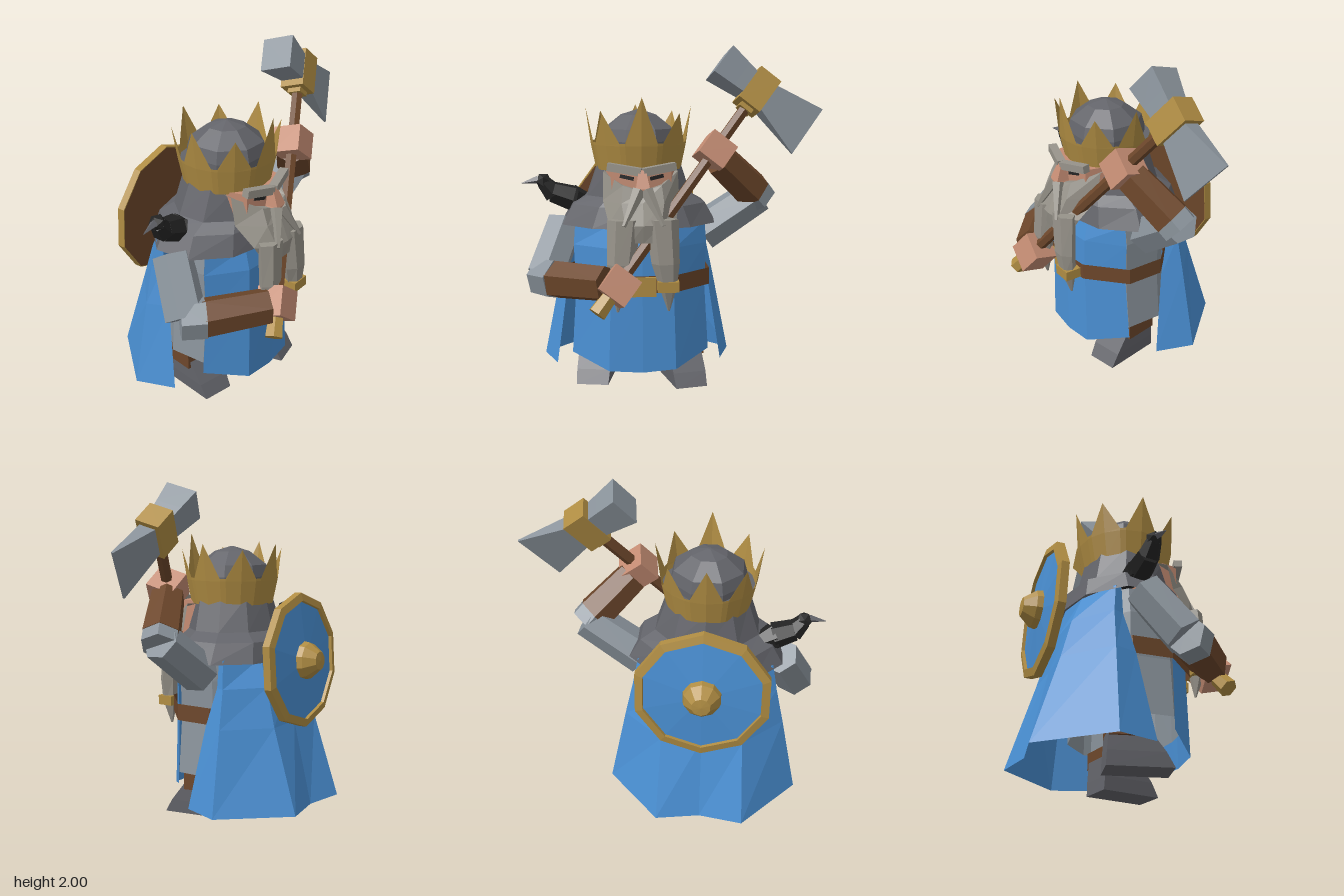
import * as THREE from 'three';

const mat = (name, color) => {
  const m = new THREE.MeshStandardMaterial({ color, flatShading: true, side: THREE.DoubleSide });
  m.name = name;
  return m;
};

const V = (x, y, z) => new THREE.Vector3(x, y, z);

// Skin a stack of cross-sections, listed bottom to top, points anticlockwise from above
function loft(rings, closed = true, cap = closed) {
  const pos = [];
  const tri = (...p) => p.forEach((v) => pos.push(...v));
  const n = rings[0].length;
  for (let j = 0; j < rings.length - 1; j++) {
    for (let i = 0; i < (closed ? n : n - 1); i++) {
      const k = (i + 1) % n;
      const [p, q, r, s] = [rings[j][i], rings[j][k], rings[j + 1][k], rings[j + 1][i]];
      tri(p, q, r);
      tri(p, r, s);
    }
  }
  if (cap) {
    const a = rings[0], b = rings[rings.length - 1];
    for (let i = 1; i < n - 1; i++) {
      tri(a[0], a[i + 1], a[i]);
      tri(b[0], b[i], b[i + 1]);
    }
  }
  const g = new THREE.BufferGeometry();
  g.setAttribute('position', new THREE.Float32BufferAttribute(pos, 3));
  g.computeVertexNormals();
  return g;
}

const ellipse = (y, rx, rz, cz, n, turn = 0, cx = 0) => Array.from({ length: n }, (_, i) => {
  const a = (i + turn) / n * Math.PI * 2;
  return [cx + Math.sin(a) * rx, y, cz + Math.cos(a) * rz];
});
const rect = (y, hx, hz, cx = 0, cz = 0) =>
  [[cx - hx, y, cz + hz], [cx + hx, y, cz + hz], [cx + hx, y, cz - hz], [cx - hx, y, cz - hz]];
// Mirror a half outline of [x, z, y?] points; runs from -x to +x across the middle point
const strip = (half, y) => [
  ...half.slice(1).reverse().map(([x, z, h]) => [-x, h ?? y, z]),
  ...half.map(([x, z, h]) => [x, h ?? y, z]),
];

export function createModel() {
  const blue = mat('blue cloth', 0x4a90d4), gold = mat('gold', 0xb08d43), skin = mat('skin', 0xc48c73);
  const leather = mat('brown leather', 0x6d472b), steel = mat('light mail and steel', 0x8a939b);
  const iron = mat('dark mail', 0x63646a), hair = mat('grey hair', 0x97938a), black = mat('black', 0x242424);

  const model = new THREE.Group();
  const body = new THREE.Group();
  body.name = 'body';
  body.position.x = -0.205;
  model.add(body);

  const add = (parent, name, geo, m, p = [0, 0, 0], r = [0, 0, 0]) => {
    const mesh = new THREE.Mesh(geo, m);
    mesh.name = name;
    mesh.position.set(...p);
    mesh.rotation.set(...r);
    parent.add(mesh);
    return mesh;
  };
  const box = (x, y, z) => new THREE.BoxGeometry(x, y, z);
  const limb = (parent, name, a, b, ra, rb, m, n = 6) => {
    const d = V(...b).sub(V(...a));
    const mesh = add(parent, name, new THREE.CylinderGeometry(rb, ra, d.length(), n), m);
    mesh.position.copy(V(...a)).addScaledVector(d, 0.5);
    mesh.quaternion.setFromUnitVectors(V(0, 1, 0), d.normalize());
  };

  // Legs, cuffs and splayed boots, the left foot forward
  for (const [s, z] of [[-1, -0.06], [1, 0.05]]) {
    const leg = new THREE.Group();
    leg.name = s > 0 ? 'leftLeg' : 'rightLeg';
    leg.position.set(s * 0.245, 0, z);
    leg.rotation.y = s * 0.2;
    body.add(leg);
    add(leg, 'boot', loft([rect(0, 0.095, 0.18, 0, 0.06), rect(0.08, 0.1, 0.155, 0, 0.04),
      rect(0.2, 0.1, 0.105, 0, 0)]), iron);
    add(leg, 'bootCuff', box(0.235, 0.1, 0.21), leather, [0, 0.21, 0]);
    add(leg, 'shin', box(0.2, 0.36, 0.18), steel, [0, 0.43, 0]);
  }

  // Mail coat, with the blue tabard over the front and a belt round both
  const waist = (y, w, f, b = 0.27) => [
    ...strip([[0, f], [w * 0.48, f - 0.02], [w, 0.15]], y),
    [w, y, -0.08], [w * 0.6, y, -b + 0.04], [0, y, -b], [-w * 0.6, y, -b + 0.04], [-w, y, -0.08],
  ];
  add(body, 'mailCoat', loft([waist(0.27, 0.4, 0.31), waist(0.6, 0.37, 0.31), waist(0.85, 0.38, 0.31),
    waist(1.0, 0.36, 0.26)], true, false), steel);
  const tab = (y, w, f) => strip([[0, f], [w * 0.48, f - 0.015], [w, 0.16]], y);
  add(body, 'tabard', loft([
    strip([[0, 0.345, 0.12], [0.195, 0.33, 0.13], [0.405, 0.15, 0.2]], 0),
    tab(0.59, 0.38, 0.34), tab(0.85, 0.39, 0.34), tab(0.98, 0.38, 0.31),
  ], false), blue);
  add(body, 'belt', loft([waist(0.595, 0.41, 0.365, 0.28), waist(0.695, 0.41, 0.365, 0.28)], true, false), leather);
  add(body, 'buckle', box(0.15, 0.11, 0.04), gold, [0, 0.635, 0.365]);

  // Cloak, open at the front; each half outline runs from the back fold to the front edge
  add(body, 'cloak', loft([
    strip([[0, -0.54], [0.26, -0.585], [0.58, -0.22], [0.5, 0.01]], 0.09),
    strip([[0, -0.42], [0.24, -0.425], [0.48, -0.2], [0.43, -0.07]], 0.59),
    strip([[0, -0.37], [0.22, -0.36], [0.43, -0.19], [0.4, -0.13]], 0.82),
    strip([[0, -0.33], [0.18, -0.29], [0.4, -0.17], [0.38, -0.13]], 0.985),
  ].map((row) => row.reverse()), false), blue);

  // Mail mantle
  add(body, 'mantle', loft([ellipse(0.96, 0.48, 0.36, -0.01, 10), ellipse(1.08, 0.41, 0.33, -0.01, 10),
    ellipse(1.13, 0.32, 0.27, 0.01, 10), ellipse(1.33, 0.25, 0.24, 0.03, 10)], true, false), iron);

  // Head, nose, eyes and brows
  const skull = (y) => strip([[0, 0.34], [0.17, 0.295], [0.2, 0.17], [0.15, -0.05]], y);
  add(body, 'face', loft([skull(1.08), skull(1.3)]), skin);
  add(body, 'nose', loft([rect(1.17, 0.05, 0.05, 0, 0.36), rect(1.2, 0.04, 0.055, 0, 0.355),
    rect(1.3, 0.02, 0.03, 0, 0.335)]), skin);
  for (const s of [-1, 1]) {
    add(body, 'eye', box(0.08, 0.02, 0.008), black, [s * 0.085, 1.257, 0.322], [0, s * 0.259, s * 0.2]);
    add(body, 'brow', box(0.195, 0.045, 0.05), hair, [s * 0.098, 1.303, 0.325], [0, s * 0.259, s * 0.15]);
  }

  // Beard, moustache and two braids with gold rings
  add(body, 'beard', loft([
    strip([[0, 0.44], [0.07, 0.44], [0.13, 0.38]], 0.9),
    strip([[0, 0.46], [0.1, 0.45], [0.19, 0.36]], 1.0),
    strip([[0, 0.41], [0.12, 0.4], [0.22, 0.25]], 1.12),
    strip([[0, 0.37, 1.18], [0.11, 0.36, 1.215], [0.215, 0.22, 1.28]], 0),
    strip([[0, 0.3, 1.18], [0.11, 0.28, 1.215], [0.2, 0.1, 1.29]], 0),
  ], false), hair);
  for (const s of [-1, 1]) {
    limb(body, 'moustache', [s * 0.11, 1.0, 0.465], [s * 0.02, 1.19, 0.39], 0.012, 0.04, hair, 5);
    add(body, 'braid', loft([ellipse(0.5, 0.006, 0.006, 0.4, 6, 0.5, s * 0.145),
      ellipse(0.64, 0.05, 0.045, 0.415, 6, 0.5, s * 0.14), ellipse(0.78, 0.08, 0.055, 0.425, 6, 0.5, s * 0.125),
      ellipse(1.03, 0.095, 0.06, 0.41, 6, 0.5, s * 0.105)]), hair);
    add(body, 'braidRing', box(0.12, 0.06, 0.1), gold, [s * 0.14, 0.65, 0.415]);
  }

  // Helmet with its rim, and a crown of eight spikes
  add(body, 'helmet', loft([[1.3, 0.235], [1.45, 0.235], [1.52, 0.215], [1.6, 0.11], [1.63, 0.01]]
    .map(([y, r]) => ellipse(y, r, r, 0.035, 8, 0.5))), iron);
  add(body, 'helmetRim', loft([ellipse(1.37, 0.25, 0.25, 0.035, 16), ellipse(1.41, 0.27, 0.27, 0.035, 16)]), iron);
  const crownRing = (radius, height) => Array.from({ length: 24 }, (_, i) => {
    const spike = Math.floor(i / 3), side = i % 3 - 1;
    const a = (spike * 45 + side * 19) * Math.PI / 180;
    const r = radius(side), y = height(side, spike);
    return [Math.sin(a) * r, y, 0.035 + Math.cos(a) * r];
  });
  const spikeTop = (spike) => (spike === 0 ? 1.705 : spike % 2 ? 1.615 : 1.65);
  add(body, 'crown', loft([
    crownRing(() => 0.252, () => 1.285), crownRing(() => 0.282, () => 1.43),
    crownRing((side) => (side ? 0.284 : 0.312), (side, spike) => (side ? 1.445 : spikeTop(spike))),
  ], true, false), gold);

  // Round shield on the back
  const shield = new THREE.Group();
  shield.name = 'shield';
  shield.position.set(0, 0.963, -0.455);
  shield.rotation.x = 0.06;
  body.add(shield);
  const disc = (name, pts, m) => add(shield, name,
    new THREE.LatheGeometry(pts.map(([r, y]) => new THREE.Vector2(r, y)), 10).rotateX(-Math.PI / 2), m);
  disc('shieldRim', [[0.395, -0.02], [0.402, -0.02], [0.402, 0.025], [0.355, 0.035], [0.35, 0]], gold);
  disc('shieldFace', [[0.36, 0.015], [0, 0.045]], blue);
  disc('shieldBack', [[0, -0.02], [0.397, -0.02]], leather);
  disc('shieldBoss', [[0.115, 0.03], [0.107, 0.07], [0.055, 0.135], [0, 0.14]], gold);

  // Right arm, held low across the body
  limb(model, 'rightSleeve', [-0.645, 0.95, -0.02], [-0.76, 0.66, 0.16], 0.115, 0.12, steel);
  limb(model, 'rightElbow', [-0.79, 0.66, 0.14], [-0.69, 0.66, 0.24], 0.115, 0.12, steel);
  limb(model, 'rightBracer', [-0.7, 0.66, 0.23], [-0.41, 0.68, 0.47], 0.115, 0.105, leather);

  // Left arm, raised
  limb(model, 'leftSleeve', [0.18, 0.89, 0], [0.52, 1.12, 0.03], 0.125, 0.115, steel);
  limb(model, 'leftElbow', [0.525, 1.09, 0.03], [0.47, 1.15, 0.06], 0.115, 0.115, steel);
  limb(model, 'leftBracer', [0.48, 1.14, 0.055], [0.26, 1.345, 0.175], 0.118, 0.105, leather);

  // Axe, with the fists gripping its handle
  const axe = new THREE.Group();
  axe.name = 'axe';
  const along = V(0.94, 1.17, -0.47).normalize();
  const out = V(0.79, -0.61, 0.067).addScaledVector(along, -V(0.79, -0.61, 0.067).dot(along)).normalize();
  axe.quaternion.setFromRotationMatrix(new THREE.Matrix4().makeBasis(out, along, out.clone().cross(along)));
  axe.position.set(0.495, 1.73, 0.065);
  model.add(axe);
  add(axe, 'handle', new THREE.CylinderGeometry(0.035, 0.035, 1.55, 6), leather, [0, -0.775, 0]);
  add(axe, 'pommel', new THREE.CylinderGeometry(0.045, 0.055, 0.15, 6), gold, [0, -1.54, 0]);
  add(axe, 'collar', box(0.085, 0.03, 0.085), gold, [0, -0.13, 0]);
  add(axe, 'headSocket', box(0.15, 0.235, 0.15), gold);
  add(axe, 'blade', loft([rect(0.05, 0.085, 0.055), rect(0.385, 0.173, 0.006)]).rotateZ(-Math.PI / 2), steel);
  add(axe, 'hammer', loft([rect(0.05, 0.075, 0.07), rect(0.14, 0.085, 0.08), rect(0.28, 0.1, 0.097)])
    .rotateZ(Math.PI / 2), steel);
  add(axe, 'leftFist', box(0.17, 0.16, 0.175), skin, [0.005, -0.455, 0]);
  add(axe, 'rightFist', box(0.175, 0.17, 0.16), skin, [0.005, -1.42, -0.005]);

  // Raven on the right shoulder
  const raven = new THREE.Group();
  raven.name = 'raven';
  model.add(raven);
  limb(raven, 'ravenTail', [-0.48, 1.06, -0.08], [-0.6, 1.1, -0.03], 0.045, 0.08, black);
  limb(raven, 'ravenBody', [-0.6, 1.1, -0.03], [-0.72, 1.14, -0.02], 0.08, 0.065, black);
  limb(raven, 'ravenNeck', [-0.71, 1.13, -0.02], [-0.77, 1.2, -0.01], 0.065, 0.045, black);
  add(raven, 'ravenHead', new THREE.IcosahedronGeometry(0.05, 0), black, [-0.77, 1.205, -0.01]);
  limb(raven, 'ravenBeak', [-0.8, 1.215, -0.005], [-0.9, 1.195, 0.005], 0.025, 0.002, iron, 4);

  return model;
}
